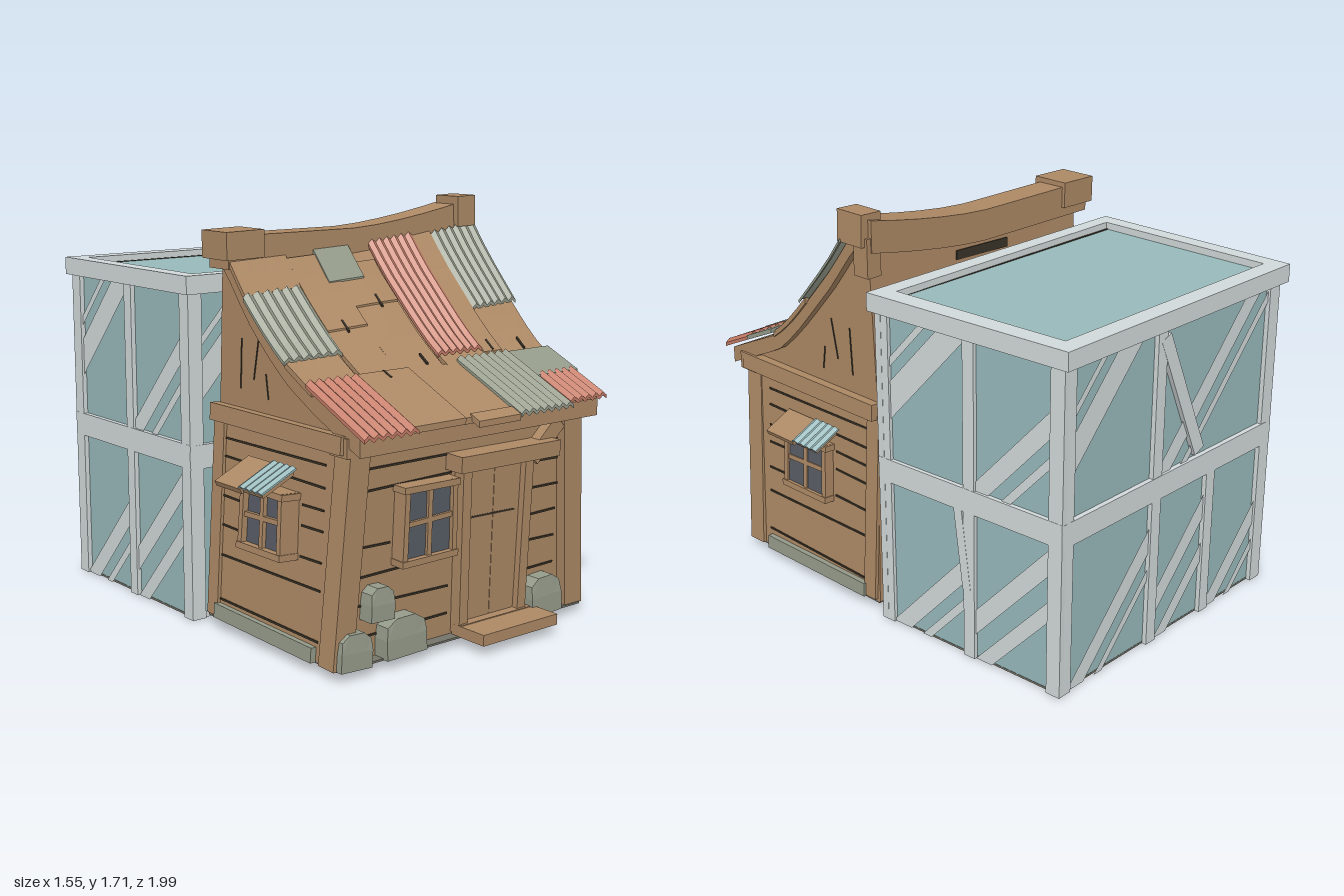
import * as THREE from 'three';

const M = (name, hex) => Object.assign(new THREE.MeshStandardMaterial({ color: hex }), { name });
const wood = M('wood', 0xad8965), dark = M('dark gap', 0x3a3328), stone = M('grey green', 0x959b8a),
  red = M('rusty red', 0xc47b66), glass = M('teal glass', 0x98b9bb), frame = M('pale frame', 0xd2d9da),
  pane = M('window pane', 0x585c65), under = M('underside', 0x75746a);

function add(parent, name, geo, mat) {
  const m = new THREE.Mesh(geo, mat);
  m.name = name;
  parent.add(m);
  return m;
}
function box(parent, name, mat, w, h, d, x, y, z, rz = 0, rx = 0) {
  const m = add(parent, name, new THREE.BoxGeometry(w, h, d), mat);
  m.position.set(x, y, z);
  m.rotation.set(rx, 0, rz);
  return m;
}
// move every vertex by a rule, then facet
function warp(geo, rule) {
  const g = geo.index ? geo.toNonIndexed() : geo, p = g.attributes.position, v = new THREE.Vector3();
  for (let i = 0; i < p.count; i++) {
    rule(v.fromBufferAttribute(p, i));
    p.setXYZ(i, v.x, v.y, v.z);
  }
  g.computeVertexNormals();
  return g;
}

// roof curve (z, y): lifted toward the +x end of the ridge, sagging toward -x
const ROOF = [[0, 1.6], [0.08, 1.57], [0.14, 1.51], [0.25, 1.385], [0.4, 1.245], [0.5, 1.155], [0.62, 1.07], [0.8, 0.99], [1, 0.9]];
const bow = (x, z) => 0.1 * Math.pow(Math.max(0, x / 0.65), 1.5) * Math.max(0, 1 - z / 0.6)
  + 0.035 * Math.min(0, x / 0.6) * Math.sin(Math.PI * Math.min(1, Math.max(0, z / 0.6)));
function roofY(x, z) {
  let i = 0;
  while (i < ROOF.length - 2 && z > ROOF[i + 1][0]) i++;
  const [z0, y0] = ROOF[i], [z1, y1] = ROOF[i + 1];
  return y0 + (y1 - y0) * (z - z0) / (z1 - z0) + bow(x, z);
}
// slab draped over the roof; ribs > 0 makes it corrugated
function sheet(parent, name, mat, x0, x1, z0, z1, t, lift, ribs = 0) {
  const nx = ribs ? ribs * 2 : 4, w = x1 - x0, d = z1 - z0;
  const geo = new THREE.BoxGeometry(w, t, d, nx, 1, Math.ceil(d / 0.07));
  geo.translate((x0 + x1) / 2, 0, (z0 + z1) / 2);
  add(parent, name, warp(geo, v => {
    const odd = Math.round((v.x - x0) / w * nx) % 2;
    v.y += roofY(v.x, v.z) + lift + (ribs ? (odd ? 0.008 : -0.008) : 0);
  }), mat);
}

// four-light window on a wall: u across, v up, n outward
function windowUnit(parent, u, v, w, h, n) {
  const g = new THREE.Group();
  g.name = 'window';
  g.position.set(u, v, 0);
  parent.add(g);
  box(g, 'windowBack', wood, w - 0.02, h - 0.02, n * 0.6, 0, 0, n * 0.3);
  box(g, 'windowPane', pane, w - 0.02, h - 0.02, 0.008, 0, 0, n * 0.6 + 0.004);
  for (const s of [-1, 1]) {
    box(g, 'windowJamb', wood, 0.024, h, n, s * (w / 2 - 0.012), 0, n / 2, s * 0.02);
    box(g, 'windowRail', wood, w + 0.012, 0.026, n + 0.01, 0, s * (h / 2 - 0.012), n / 2, -s * 0.012);
  }
  box(g, 'windowMullion', wood, 0.022, h - 0.04, n * 0.9, 0, 0, n * 0.45);
  box(g, 'windowBar', wood, w - 0.04, 0.02, n * 0.9, 0, 0.01, n * 0.45, 0.04);
}
const groove = (p, u, v, w, r = 0) => box(p, 'plankGap', dark, w, 0.008, 0.006, u, v, 0.002, r);

function house(root) {
  const h = new THREE.Group();
  h.name = 'shack';
  root.add(h);
  // walls: side profile pulled across x, narrowing upward
  const prof = [[-0.005, 0.04], [0.8, 0.04], [0.825, 0.87], [0.8, 0.95], [0.62, 1.03], [0.5, 1.11], [0.4, 1.2], [0.25, 1.34], [0.14, 1.47], [0.06, 1.53], [0.03, 0.9]];
  const shape = new THREE.Shape(prof.map(([z, y]) => new THREE.Vector2(-z, y)));
  const geo = new THREE.ExtrudeGeometry(shape, { depth: 2, bevelEnabled: false });
  geo.rotateY(Math.PI / 2).translate(-1, 0, 0);
  add(h, 'walls', warp(geo, v => {
    v.x = 0.02 + v.x * (0.65 - 0.05 * Math.min(1, (v.y - 0.04) / 0.83));
    if (v.y > 0.92) v.y += bow(v.x, v.z);
  }), wood);
  box(h, 'underside', under, 1.3, 0.008, 0.85, 0.02, 0.037, 0.425);

  // front wall details
  const f = new THREE.Group();
  f.name = 'frontWall';
  f.position.set(0, 0.04, 0.8);
  f.rotation.x = 0.03;
  h.add(f);
  for (const [v, r] of [[0.74, 0], [0.66, 0.02], [0.44, -0.02], [0.33, 0.02], [0.21, -0.02], [0.09, 0.01]]) {
    const left = v > 0.36 && v < 0.64 ? [-0.43, 0.15] : [-0.28, 0.46];
    groove(f, left[0], v, left[1], r);
    groove(f, 0.44, v - 0.02, 0.2, -r);
  }
  groove(f, 0.44, 0.53, 0.22, -0.01);
  box(f, 'cornerPost', wood, 0.095, 0.83, 0.09, -0.575, 0.41, 0, -0.075);
  box(f, 'cornerPost', wood, 0.1, 0.83, 0.09, 0.605, 0.41, 0, 0.075);
  box(f, 'doorGap', dark, 0.33, 0.65, 0.008, 0.16, 0.36, 0.006);
  for (const [u, w] of [[0.088, 0.146], [0.236, 0.146]]) box(f, 'doorPlank', wood, w, 0.63, 0.025, u, 0.36, 0.01);
  box(f, 'doorSplit', dark, 0.26, 0.007, 0.006, 0.15, 0.47, 0.022, -0.02);
  box(f, 'doorPost', wood, 0.045, 0.7, 0.06, -0.005, 0.36, 0.02, 0.01);
  box(f, 'doorPost', wood, 0.045, 0.7, 0.06, 0.325, 0.36, 0.02, -0.02);
  box(f, 'doorLintel', wood, 0.54, 0.065, 0.09, 0.19, 0.71, 0.045, -0.01);
  box(f, 'doorBrace', wood, 0.2, 0.07, 0.05, 0.43, 0.735, 0.02, 0.75);
  box(f, 'doorSill', wood, 0.4, 0.04, 0.06, 0.18, 0.03, 0.03);
  windowUnit(f, -0.205, 0.505, 0.27, 0.31, 0.065);
  box(h, 'doorStep', wood, 0.41, 0.045, 0.18, 0.18, 0.062, 0.9);
  box(h, 'eaveBeam', wood, 1.27, 0.075, 0.1, 0.025, 0.885, 0.82, 0.005);
  // foundation stones with narrowed tops
  for (const [x, y, w, hh, r] of [[-0.56, 0.105, 0.15, 0.14, -0.05], [-0.315, 0.115, 0.2, 0.155, 0.02], [-0.435, 0.265, 0.115, 0.13, -0.03], [0.445, 0.12, 0.17, 0.16, 0.06]]) {
    const g = new THREE.BoxGeometry(w, hh, 0.09, 4, 2, 1);
    const m = add(h, 'stone', warp(g, v => {
      if (v.y > 0.01) {
        v.z *= 0.85;
        if (Math.abs(v.x) > w * 0.4) v.y -= hh * 0.18;
        v.x *= 0.92;
      }
    }), stone);
    m.position.set(x, y, 0.83);
    m.rotation.z = r;
  }

  // side walls: right is s = 1, left is s = -1
  for (const s of [1, -1]) {
    const g = new THREE.Group();
    g.name = 'sideWall';
    g.position.set(0.02 + s * 0.65, 0.04, 0);
    g.rotation.set(-0.06, s * Math.PI / 2, 0, 'YXZ');
    h.add(g);
    const c = -s * 0.435;
    for (const [v, r] of [[0.75, 0.01], [0.67, -0.01], [0.27, 0.01], [0.08, -0.01]]) groove(g, -s * 0.38, v, 0.68, r);
    for (const v of [0.38, 0.5, 0.58]) {
      groove(g, -s * 0.655, v, 0.13, 0.02);
      groove(g, -s * 0.17, v + 0.01, 0.22, -0.02);
    }
    windowUnit(g, c, 0.49, 0.27, 0.26, s > 0 ? 0.045 : 0.085);
    // awning: boards carrying a small corrugated sheet on one half
    const a = new THREE.Group(), d = s > 0 ? 0.14 : 0.18;
    a.name = 'awning';
    a.position.set(0, 0.655, s > 0 ? 0.07 : 0.09);
    a.rotation.x = 0.5;
    g.add(a);
    box(a, 'awningBoard', wood, 0.17, 0.022, d, s > 0 ? -0.49 : 0.34, 0, 0);
    box(a, 'awningBoard', wood, 0.13, 0.018, d - 0.02, s > 0 ? -0.33 : 0.485, 0, 0);
    const tin = new THREE.BoxGeometry(0.15, 0.008, d, 8, 1, 1);
    add(a, 'awningSheet', warp(tin, v => { v.y += Math.round((v.x + 0.075) / 0.15 * 8) % 2 ? 0.008 : 0; }), glass)
      .position.set(s > 0 ? -0.325 : 0.49, 0.016, 0);
    box(g, 'footing', stone, 0.64, 0.06, 0.04, -s * 0.39, 0.03, 0.005, s * 0.015);
    box(g, 'rearPost', wood, 0.07, 0.82, 0.03, -s * 0.045, 0.42, 0, 0);
    box(g, 'sideBeam', wood, 0.83, 0.07, 0.06, -s * 0.435, 0.85, 0.015);
    // gable cracks
    for (const [z, y, l, r] of [[0.28, 1.13, 0.17, 0.2], [0.35, 1.03, 0.1, -0.15], [0.18, 1.1, 0.2, 0.05]])
      box(h, 'gableCrack', dark, 0.006, l, 0.006, 0.02 + s * 0.6, y, z, 0, r);
  }
  // back wall gaps
  for (let i = 0; i < 6; i++) box(h, 'backGap', dark, 1.1, 0.008, 0.006, 0.02, 0.18 + i * 0.13, 0.001 + i * 0.0053);
  box(h, 'backHole', dark, 0.3, 0.04, 0.008, 0, 1.42, 0.053, 0.03);

  // roof shell, boards and patches
  sheet(h, 'roof', wood, -0.6, 0.65, 0.07, 0.93, 0.07, -0.04);
  const boards = [[-0.61, -0.34, 0.08, 0.25], [-0.61, -0.36, 0.5, 0.66], [-0.34, -0.14, 0.16, 0.42], [-0.34, -0.14, 0.4, 0.64], [-0.14, 0.08, 0.2, 0.35],
    [-0.15, 0.08, 0.34, 0.62], [-0.36, -0.1, 0.62, 0.95], [-0.1, 0.16, 0.62, 0.94], [-0.06, 0.16, 0.93, 0.98], [0.1, 0.42, 0.55, 0.64], [0.33, 0.43, 0.14, 0.6], [0.43, 0.66, 0.41, 0.63]];
  boards.forEach(([a, b, c, d], i) => sheet(h, 'roofBoard', wood, a, b, c, d, 0.025, i % 2 ? 0.002 : 0.01));
  for (const [x, z] of [[-0.25, 0.39], [-0.02, 0.32], [0.38, 0.55], [-0.23, 0.62], [0.55, 0.56], [0.0, 0.57]])
    sheet(h, 'boardCrack', dark, x, x + 0.01, z, z + 0.045, 0.008, 0.021);
  sheet(h, 'redSheet', red, -0.62, -0.36, 0.64, 0.98, 0.015, 0.027, 6);
  sheet(h, 'redSheet', red, 0.09, 0.33, 0.15, 0.585, 0.015, 0.026, 6);
  sheet(h, 'redSheet', red, 0.46, 0.67, 0.78, 0.96, 0.015, 0.025, 5);
  sheet(h, 'greySheet', stone, -0.62, -0.34, 0.25, 0.51, 0.015, 0.02, 6);
  sheet(h, 'greySheet', stone, 0.43, 0.68, 0.16, 0.425, 0.015, 0.022, 6);
  sheet(h, 'greySheet', stone, 0.16, 0.45, 0.62, 0.985, 0.015, 0.027, 7);
  sheet(h, 'greyPlate', stone, 0.44, 0.68, 0.62, 0.79, 0.02, 0.02);
  sheet(h, 'greyPlate', stone, -0.2, -0.02, 0.15, 0.255, 0.02, 0.02);
  // ridge beam and end caps
  const ridge = new THREE.BoxGeometry(1.25, 0.13, 0.13, 10, 1, 1).translate(0.01, 1.53, 0.085);
  add(h, 'ridgeBeam', warp(ridge, v => { v.y += bow(Math.max(0, v.x), 0.06); }), wood);
  box(h, 'ridgeCap', wood, 0.18, 0.11, 0.17, -0.55, 1.56, 0.09, 0.02);
  box(h, 'ridgeCap', wood, 0.1, 0.13, 0.14, 0.62, 1.64, 0.108, 0.03);
  box(h, 'ridgeEnd', wood, 0.07, 0.16, 0.08, 0.62, 1.53, 0.065);
}

// cut a polygon to the side where f >= 0
function clip(poly, f) {
  const out = [];
  poly.forEach((a, i) => {
    const b = poly[(i + 1) % poly.length], fa = f(a), fb = f(b);
    if (fa >= 0) out.push(a);
    if (fa * fb < 0) out.push(a.clone().lerp(b, fa / (fa - fb)));
  });
  return out;
}
// glazed wall: posts, middle rail and slanted shine bands
function glazedWall(parent, x, z, ry, w, upper, lower) {
  const g = new THREE.Group();
  g.name = 'glazedWall';
  g.position.set(x, 0, z);
  g.rotation.y = ry;
  parent.add(g);
  for (const s of [-1, 1]) box(g, 'cornerUpright', frame, 0.065, 1.36, 0.03, s * (w / 2 - 0.0325), 0.68, -0.015);
  box(g, 'middleRail', frame, w, 0.1, 0.03, 0, 0.69, -0.014, 0.004);
  [[upper, 0.74, 1.36], [lower, 0, 0.64]].forEach(([posts, v0, v1], row) => {
    for (const u of posts) box(g, 'upright', frame, 0.055, v1 - v0, 0.028, u, (v0 + v1) / 2, -0.014);
    const edges = [-w / 2 + 0.06, ...posts, w / 2 - 0.06];
    for (let i = 0; i + 1 < edges.length; i++) {
      const [a, b] = [edges[i], edges[i + 1]];
      const bands = (row + i) % 2 ? [[-0.1, 0.01], [-0.22, -0.17]] : row ? [[0.08, 0.19], [-0.12, -0.03]] : [[0.17, 0.33], [0.39, 0.43]];
      for (const [lo, hi] of bands) {
        const d = p => (p.y - v0) - 1.1 * (p.x - a);
        let poly = [[a, v0], [b, v0], [b, v1], [a, v1]].map(p => new THREE.Vector2(...p));
        poly = clip(clip(poly, p => d(p) - lo), p => hi - d(p));
        if (poly.length < 3) continue;
        add(g, 'shineBand', new THREE.ShapeGeometry(new THREE.Shape(poly)), frame).position.z = -0.01;
      }
    }
  });
  return g;
}

function glassHouse(root) {
  const g = new THREE.Group();
  g.name = 'glassHouse';
  root.add(g);
  const shape = pts => new THREE.Shape(pts.map(([x, z]) => new THREE.Vector2(x, -z)));
  const slab = (name, s, y0, y1, mat) =>
    add(g, name, new THREE.ExtrudeGeometry(s, { depth: y1 - y0, bevelEnabled: false }).rotateX(-Math.PI / 2).translate(0, y0, 0), mat);
  const core = shape([[-0.655, -0.07], [0.675, -0.07], [0.615, -0.95], [-0.655, -0.95]]);
  slab('glassCore', core, 0.01, 1.4, glass);
  slab('floor', core, 0, 0.009, under);
  const rim = shape([[-0.69, -0.035], [0.72, -0.035], [0.65, -1], [-0.69, -1]]);
  rim.holes.push(shape([[-0.62, -0.1], [0.63, -0.11], [0.575, -0.92], [-0.62, -0.92]]));
  slab('roofRim', rim, 1.355, 1.43, frame);
  for (const [w, d, x, z] of [[1.25, 0.008, 0.005, -0.106], [1.19, 0.008, -0.02, -0.916]]) box(g, 'rimGap', dark, w, 0.006, d, x, 1.4, z);

  const right = glazedWall(g, 0.662, -0.51, Math.PI / 2 + 0.065, 0.925, [0.01], [0.01]);
  box(right, 'brace', frame, 0.04, 0.36, 0.026, -0.025, 0.48, -0.012, 0.13);
  glazedWall(g, -0.675, -0.51, -Math.PI / 2, 0.92, [0], [0]);
  glazedWall(g, 0.008, -0.05, 0, 1.366, [-0.2, 0.2], [-0.2, 0.2]);
  const back = glazedWall(g, -0.022, -0.97, Math.PI, 1.306, [-0.1], [-0.1, 0.25]);
  box(back, 'brace', frame, 0.06, 0.6, 0.026, 0.04, 1.04, -0.012, 0.42);
}

export function createModel() {
  const root = new THREE.Group();
  root.name = 'shackWithGlassHouse';
  house(root);
  glassHouse(root);
  return root;
}
